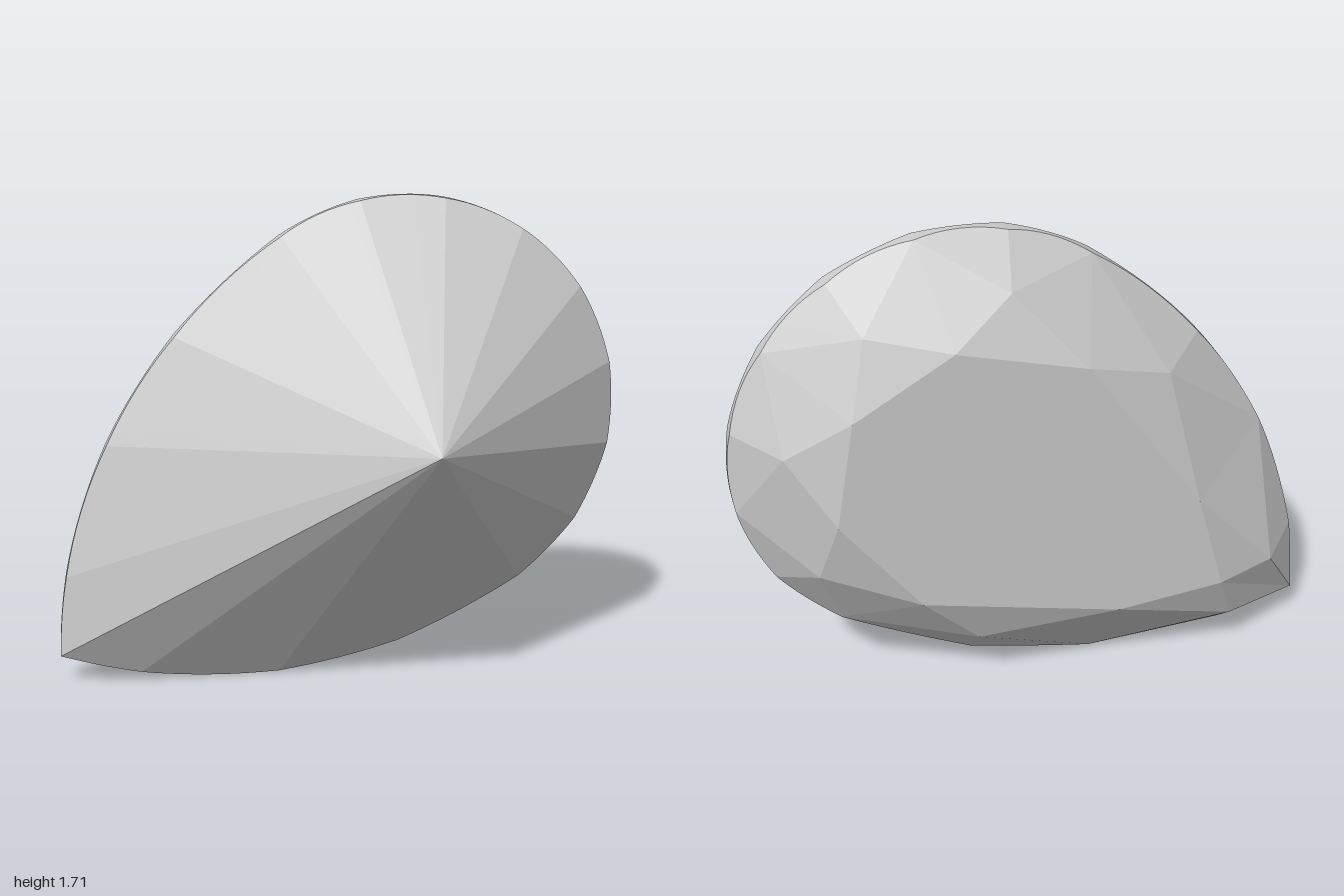
import * as THREE from 'three';

// Pear outline in the gem's own frame: point at (0, 0), long axis along +x, widest at x = CX.
const CX = 1.488, R = 0.765, TAIL = (CX * CX + R * R) / (2 * R);
const TAIL_ANGLES = [Math.asin(CX / TAIL), 0.789, 0.518, 0.274, 0];
const N = 16, STEPS = 8;
const CULET = [CX, 0, 0.455], FRONT_Z = -0.176, BACK_Z = -0.226, TABLE_Z = -0.455, STAR_Z = -0.376;

// Outline position: s runs 0..16 from the point, over the upper side, round the end and back.
function outline(s) {
  if (s > 8) {
    const [x, y] = outline(N - s);
    return [x, -y];
  }
  if (s >= 4) {
    const a = (8 - s) * Math.PI / 8;
    return [CX + R * Math.cos(a), R * Math.sin(a)];
  }
  const i = Math.floor(s);
  const a = THREE.MathUtils.lerp(TAIL_ANGLES[i], TAIL_ANGLES[i + 1], s - i);
  return [CX - TAIL * Math.sin(a), TAIL * Math.cos(a) - TAIL + R];
}

// Edge of the flat facet through an apex and two girdle corners, following the curved outline.
function scallop(apex, k, z) {
  const [p, a, b] = [apex, [...outline(k), z], [...outline(k + 1), z]].map(q => new THREE.Vector3(...q));
  const n = b.clone().sub(a).cross(p.clone().sub(a));
  return Array.from({ length: STEPS + 1 }, (_, i) => {
    const [x, y] = outline(k + i / STEPS);
    return [x, y, a.z - (n.x * (x - a.x) + n.y * (y - a.y)) / n.z];
  });
}

function facetMesh(name, triangles) {
  const geometry = new THREE.BufferGeometry();
  geometry.setAttribute('position', new THREE.Float32BufferAttribute(triangles.flat(2), 3));
  geometry.computeVertexNormals();
  const mesh = new THREE.Mesh(geometry, new THREE.MeshStandardMaterial({ color: 0xcccccc, flatShading: true }));
  mesh.name = name;
  return mesh;
}

// Mirror half a ring of points (k = 0..8) to the other side
const mirrored = (half, k) => {
  const [x, y, z] = half[k <= 8 ? k : N - k];
  return [x, k <= 8 ? y : -y, z];
};

export function createModel() {
  const gem = new THREE.Group();
  gem.name = 'pearCutGem';

  // Crown corners: even ones bound the table, odd ones are the tips of the star facets
  const half = [
    [0.455, 0], [0.28, 0.125], [0.737, 0.24], [1.084, 0.57], [1.39, 0.49],
    [CX + 0.237, 0.573], [1.81, 0.345], [CX + 0.573, 0.237], [1.97, 0],
  ].map(([x, y], i) => [x, y, i % 2 ? STAR_Z : TABLE_Z]);
  const corner = k => mirrored(half, (k + N) % N);

  const pavilion = [], crown = [], table = [], frontEdge = [], backEdge = [];
  for (let k = 0; k < N; k++) {
    const star = corner(k % 2 ? k : k + 1);
    const front = scallop(CULET, k, FRONT_Z), back = scallop(star, k, BACK_Z);
    // Pavilion facet and upper girdle facet as fans
    for (let i = 0; i < STEPS; i++) {
      pavilion.push([CULET, front[i + 1], front[i]]);
      crown.push([star, back[i], back[i + 1]]);
    }
    frontEdge.push(...front.slice(k ? 1 : 0));
    backEdge.push(...back.slice(k ? 1 : 0));
    if (k % 2 === 0) {
      // Kite facet, star facet and table slice
      const t = corner(k), next = corner(k + 2), g = [...outline(k), BACK_Z];
      crown.push([t, corner(k - 1), g], [t, g, corner(k + 1)], [t, corner(k + 1), next]);
      if (k > 0 && k < N - 2) table.push([corner(0), t, next]);
    }
  }
  gem.add(facetMesh('pavilion', pavilion), facetMesh('crown', crown), facetMesh('table', table));

  // Smooth girdle band between the scalloped edges, creased only at the point
  const count = frontEdge.length, index = [];
  for (let i = 0; i < count - 1; i++) {
    index.push(i, i + 1, count + i, i + 1, count + i + 1, count + i);
  }
  const band = new THREE.BufferGeometry();
  band.setAttribute('position', new THREE.Float32BufferAttribute([...frontEdge, ...backEdge].flat(), 3));
  band.setIndex(index);
  band.computeVertexNormals();
  const girdle = new THREE.Mesh(band, new THREE.MeshStandardMaterial({ color: 0xcccccc }));
  girdle.name = 'girdle';
  gem.add(girdle);

  // Tilt the long axis and set the point at the lower right of the model
  gem.rotation.z = THREE.MathUtils.degToRad(34.3);
  gem.position.set(-1, 0.12, 0);
  const model = new THREE.Group();
  model.name = 'gem';
  model.add(gem);
  return model;
}
